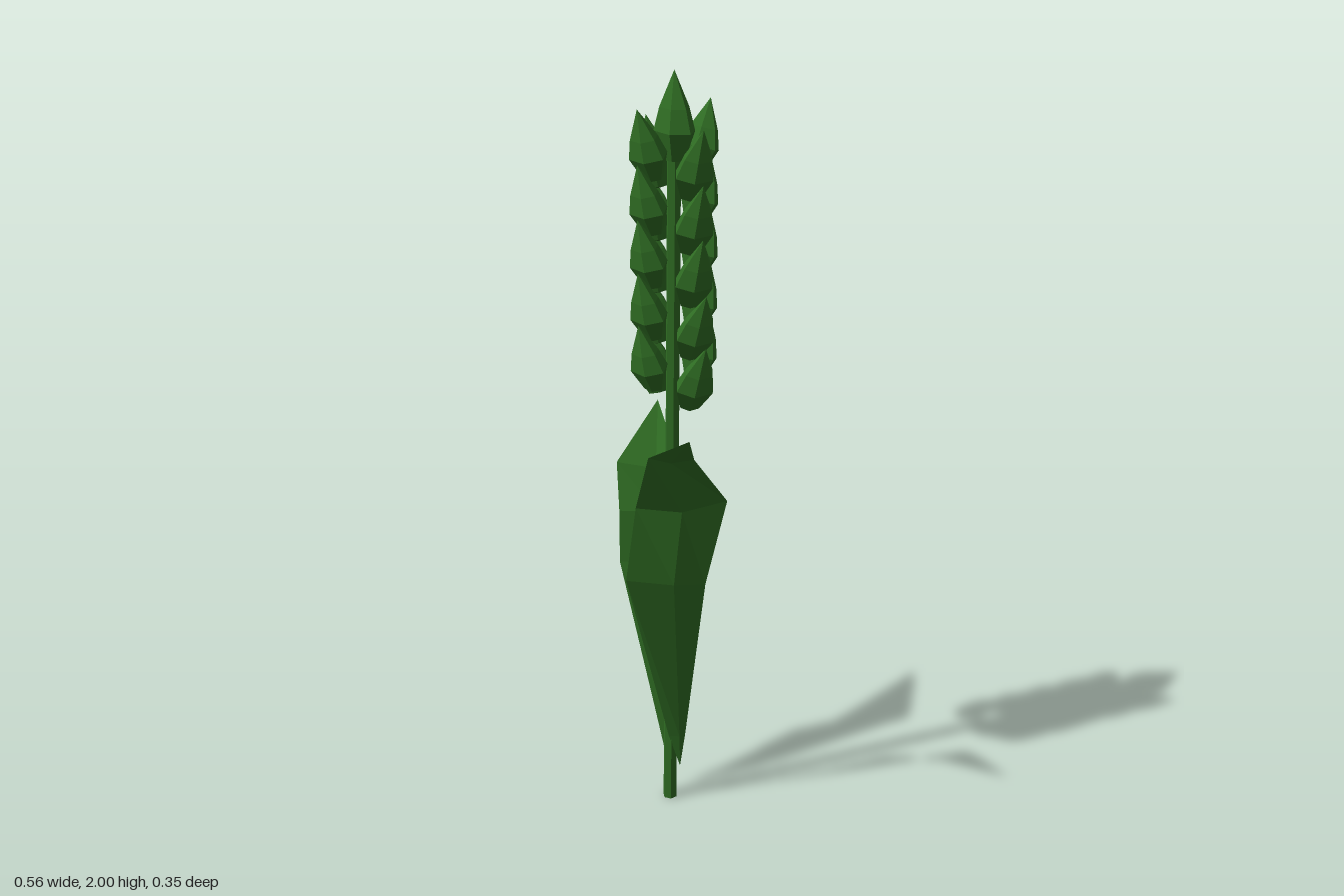
import * as THREE from 'three';

const green = new THREE.MeshStandardMaterial({ color: 0x2f6c23, flatShading: true, side: THREE.DoubleSide });
green.name = 'leaf green';

// Ear axis
const EAR_X = 0.033, EAR_Z = 0.017;

// Pointed, blunt-based grain standing on its origin
function grainGeometry(width, depth, height) {
  const profile = [[0, 0], [0.26, 0.02], [0.5, 0.34], [0.36, 0.6], [0, 1]]
    .map(([r, y]) => new THREE.Vector2(r, y));
  const geometry = new THREE.LatheGeometry(profile, 6);
  geometry.rotateY(Math.PI / 6);
  return geometry.scale(width, height, depth);
}

// Folded blade: rows of [front edge, midrib, back edge] between a base and a tip
function leaf(name, base, rows, tip) {
  const points = [base, ...rows.flat(), tip];
  const index = [0, 2, 1, 0, 3, 2];
  for (let i = 0; i < rows.length - 1; i++) {
    for (let j = 0; j < 2; j++) {
      const a = 1 + i * 3 + j, b = a + 1, c = a + 3, d = a + 4;
      index.push(a, b, c, b, d, c);
    }
  }
  const end = points.length - 1;
  index.push(end - 3, end - 2, end, end - 2, end - 1, end);
  const geometry = new THREE.BufferGeometry();
  geometry.setAttribute('position', new THREE.Float32BufferAttribute(points.flat(), 3));
  geometry.setIndex(index);
  const flat = geometry.toNonIndexed();
  flat.computeVertexNormals();
  const mesh = new THREE.Mesh(flat, green);
  mesh.name = name;
  return mesh;
}

export function createModel() {
  const model = new THREE.Group();
  model.name = 'wheatPlant';

  // Stem, leaning very slightly towards the ear
  const stemGeometry = new THREE.CylinderGeometry(0.018, 0.019, 1.86, 6);
  stemGeometry.translate(0, 0.93, 0);
  const position = stemGeometry.attributes.position;
  for (let i = 0; i < position.count; i++) {
    const t = position.getY(i) / 1.86;
    position.setX(i, position.getX(i) + 0.021 + (EAR_X - 0.021) * t);
    position.setZ(i, position.getZ(i) + 0.021 + (EAR_Z - 0.021) * t);
  }
  stemGeometry.computeVertexNormals();
  const stem = new THREE.Mesh(stemGeometry, green);
  stem.name = 'stem';
  model.add(stem);

  // Ear: five tiers of four grains, the front and back pairs set higher
  const ear = new THREE.Group();
  ear.name = 'ear';
  ear.position.set(EAR_X, 0, EAR_Z);
  const sideGrain = grainGeometry(0.115, 0.085, 0.18);
  for (let tier = 0; tier < 5; tier++) {
    for (let side = 0; side < 4; side++) {
      const arm = new THREE.Group();
      arm.name = 'grainArm';
      arm.rotation.y = side * Math.PI / 2;
      const grain = new THREE.Mesh(sideGrain, green);
      grain.name = 'grain';
      grain.position.set(0, (side % 2 ? 1.17 : 1.215) + tier * 0.133, 0.062);
      grain.rotation.x = side === 1 && tier < 2 ? 0.36 : 0.28;
      arm.add(grain);
      ear.add(arm);
    }
  }
  const topGrain = new THREE.Mesh(grainGeometry(0.125, 0.09, 0.22), green);
  topGrain.name = 'topGrain';
  topGrain.position.y = 1.78;
  ear.add(topGrain);
  model.add(ear);

  // Two folded leaves
  model.add(leaf('leftLeaf', [0.045, 0.1, 0.005], [
    [[0.035, 0.2, 0.036], [0.055, 0.2, 0.015], [0.06, 0.2, 0]],
    [[0.035, 0.71, 0.175], [0.1, 0.69, 0.07], [0.13, 0.68, -0.01]],
    [[0.045, 0.91, 0.15], [0.12, 0.9, 0.06], [0.17, 0.92, -0.047]],
    [[0.128, 1.08, 0.173], [0.15, 1.06, 0.12], [0.187, 1.07, 0.075]],
  ], [0.28, 1.17, 0.165]));
  model.add(leaf('rightLeaf', [-0.008, 0.06, 0], [
    [[-0.062, 0.27, 0.017], [-0.025, 0.27, -0.02], [0, 0.28, -0.065]],
    [[-0.167, 0.65, 0.045], [-0.09, 0.66, -0.02], [-0.04, 0.7, -0.125]],
    [[-0.167, 0.8, 0.045], [-0.1, 0.8, -0.03], [-0.05, 0.81, -0.14]],
    [[-0.21, 0.92, 0.02], [-0.15, 0.9, -0.065], [-0.13, 0.92, -0.122]],
  ], [-0.284, 1.03, -0.176]));

  return model;
}
